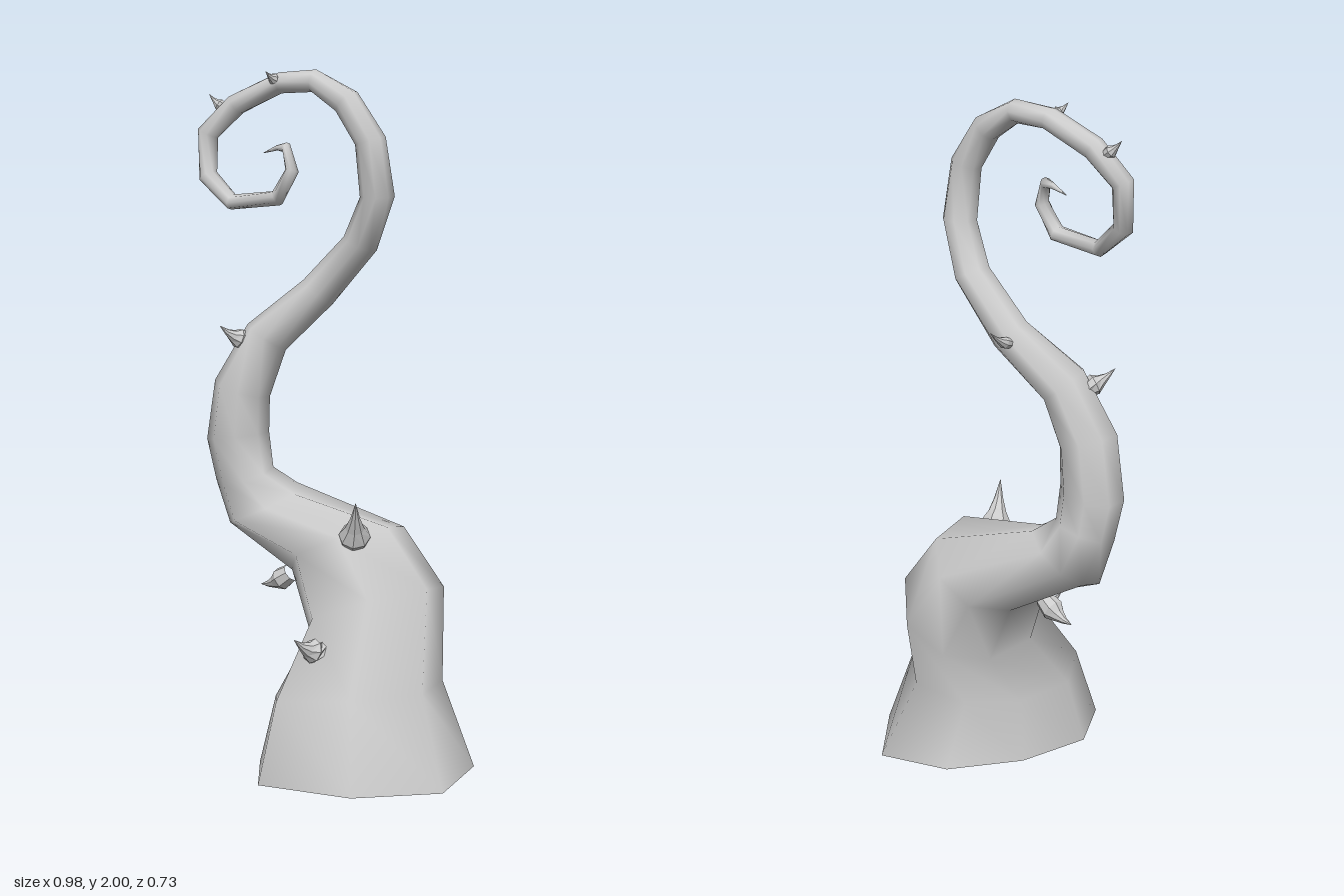
import * as THREE from 'three';

const V = (x, y, z) => new THREE.Vector3(x, y, z);

// Skin a list of closed rings (equal point counts) with quads
function loft(rings) {
  const n = rings[0].length, pos = [], idx = [];
  rings.forEach(r => r.forEach(p => pos.push(p.x, p.y, p.z)));
  for (let i = 0; i < rings.length - 1; i++)
    for (let j = 0; j < n; j++) {
      const k = (j + 1) % n, a = i * n + j, b = i * n + k;
      idx.push(a, b, a + n, b, b + n, a + n);
    }
  const g = new THREE.BufferGeometry();
  g.setAttribute('position', new THREE.Float32BufferAttribute(pos, 3));
  g.setIndex(idx);
  g.computeVertexNormals();
  return g;
}

// Elliptical ring around c spanned by two half-axis vectors; skew shifts
// the front and back points along x, pinch narrows the ring between them
function ring(c, u, v, n, skew = 0, pinch = 1) {
  return Array.from({ length: n }, (_, j) => {
    const a = j / n * Math.PI * 2, s = Math.sin(a);
    const depth = Math.sign(s) * Math.abs(s) ** pinch;
    const p = c.clone().addScaledVector(u, Math.cos(a)).addScaledVector(v, depth);
    p.x += skew * s * s;
    return p;
  });
}

// Sections: inner edge x,y, outer edge x,y, centre z, depth radius, skew, pinch
const trunk = [
  [-0.11, 0, 0.49, 0, 0, 0.365, -0.08, 1.33],
  [-0.08, 0.18, 0.41, 0.27, 0.01, 0.27, -0.08, 1.3],
  [-0.07, 0.33, 0.31, 0.54, -0.09, 0.213, -0.07, 1.15],
  [-0.15, 0.51, 0.16, 0.70, -0.065, 0.175, -0.05],
  [-0.40, 0.66, -0.15, 0.76, 0.037, 0.113, -0.05, 1.15],
  [-0.43, 0.79, -0.24, 0.81, 0.08, 0.085],
  [-0.45, 0.90, -0.25, 0.93, 0.093, 0.09],
  [-0.41, 1.08, -0.25, 1.04, 0.09, 0.088],
  [-0.33, 1.24, -0.22, 1.19, 0.04, 0.077],
];
const curl = [
  [-0.22, 1.38, -0.13, 1.32, -0.075, 0.06],
  [-0.09, 1.52, 0, 1.48, -0.13, 0.055],
  [-0.02, 1.64, 0.08, 1.64, -0.132, 0.051],
  [-0.03, 1.79, 0.06, 1.81, -0.118, 0.045],
  [-0.09, 1.88, -0.03, 1.94, -0.09, 0.041],
  [-0.165, 1.935, -0.15, 2.0, -0.05, 0.038],
  [-0.25, 1.93, -0.265, 1.99, 0, 0.036],
  [-0.36, 1.87, -0.40, 1.92, 0.07, 0.034],
  [-0.43, 1.80, -0.49, 1.82, 0.115, 0.033],
  [-0.42, 1.70, -0.465, 1.67, 0.128, 0.03],
  [-0.35, 1.635, -0.36, 1.59, 0.105, 0.028],
  [-0.22, 1.65, -0.195, 1.61, 0.05, 0.025],
  [-0.19, 1.71, -0.155, 1.71, 0.022, 0.022],
  [-0.215, 1.76, -0.21, 1.79, 0.012, 0.016],
  [-0.25, 1.765, -0.255, 1.78, 0.015, 0.009],
  [-0.30, 1.755, -0.30, 1.757, 0.03, 0.001],
];

function tentacleGeometry() {
  const s = [...trunk, ...curl];
  const c = s.map(([ax, ay, bx, by, z]) => V((ax + bx) / 2, (ay + by) / 2, z));
  return loft(s.map(([ax, ay, bx, by, , depth, skew, pinch], i) => {
    const u = V((bx - ax) / 2, (by - ay) / 2, 0);
    // The thick foot sections stay level from front to back
    const t = i < 4 ? V(0, 1, 0)
      : c[Math.min(i + 1, c.length - 1)].clone().sub(c[i - 1]);
    return ring(c[i], u, t.cross(u).normalize().multiplyScalar(depth), 8, skew, pinch);
  }));
}

// Thorn: bulbous root tapering along a bent spine to a point
function thornGeometry(base, tip, r) {
  const len = base.distanceTo(tip);
  const mid = base.clone().lerp(tip, 0.55).add(V(0, -0.16 * len, 0));
  const spine = new THREE.QuadraticBezierCurve3(base, mid, tip);
  const profile = [[0, 0.8], [0.3, 1], [0.5, 0.6], [0.72, 0.3], [1, 0.01]];
  return loft(profile.map(([t, w]) => {
    const d = spine.getTangent(t);
    const u = V(0.3, 0.2, 1).cross(d).normalize();
    const v = d.clone().cross(u).normalize();
    return ring(spine.getPoint(t), u.multiplyScalar(r * w), v.multiplyScalar(r * w), 8);
  }));
}

export function createModel() {
  const group = new THREE.Group();
  const skin = new THREE.MeshStandardMaterial({ color: 0xcccccc, side: THREE.DoubleSide });
  const horn = new THREE.MeshStandardMaterial({ color: 0xcccccc, flatShading: true });

  // Curling body, open at the foot
  const body = new THREE.Mesh(tentacleGeometry(), skin);
  body.name = 'tentacle';
  group.add(body);

  // Thorns: root, tip, radius
  const thorns = [
    [V(0.09, 0.645, 0), V(0.18, 0.79, 0.067), 0.046],
    [V(0.12, 0.355, 0.145), V(0.13, 0.41, 0.25), 0.036],
    [V(-0.145, 0.525, 0.05), V(-0.25, 0.475, 0.085), 0.034],
    [V(-0.305, 1.205, 0.09), V(-0.32, 1.255, 0.178), 0.03],
    [V(-0.215, 1.335, -0.095), V(-0.255, 1.385, -0.178), 0.017],
    [V(-0.252, 1.968, 0.015), V(-0.24, 1.995, 0.066), 0.017],
    [V(-0.42, 1.885, 0.085), V(-0.46, 1.925, 0.11), 0.018],
  ];
  thorns.forEach(([base, tip, r], i) => {
    const m = new THREE.Mesh(thornGeometry(base, tip, r), horn);
    m.name = `thorn${i + 1}`;
    group.add(m);
  });
  return group;
}
